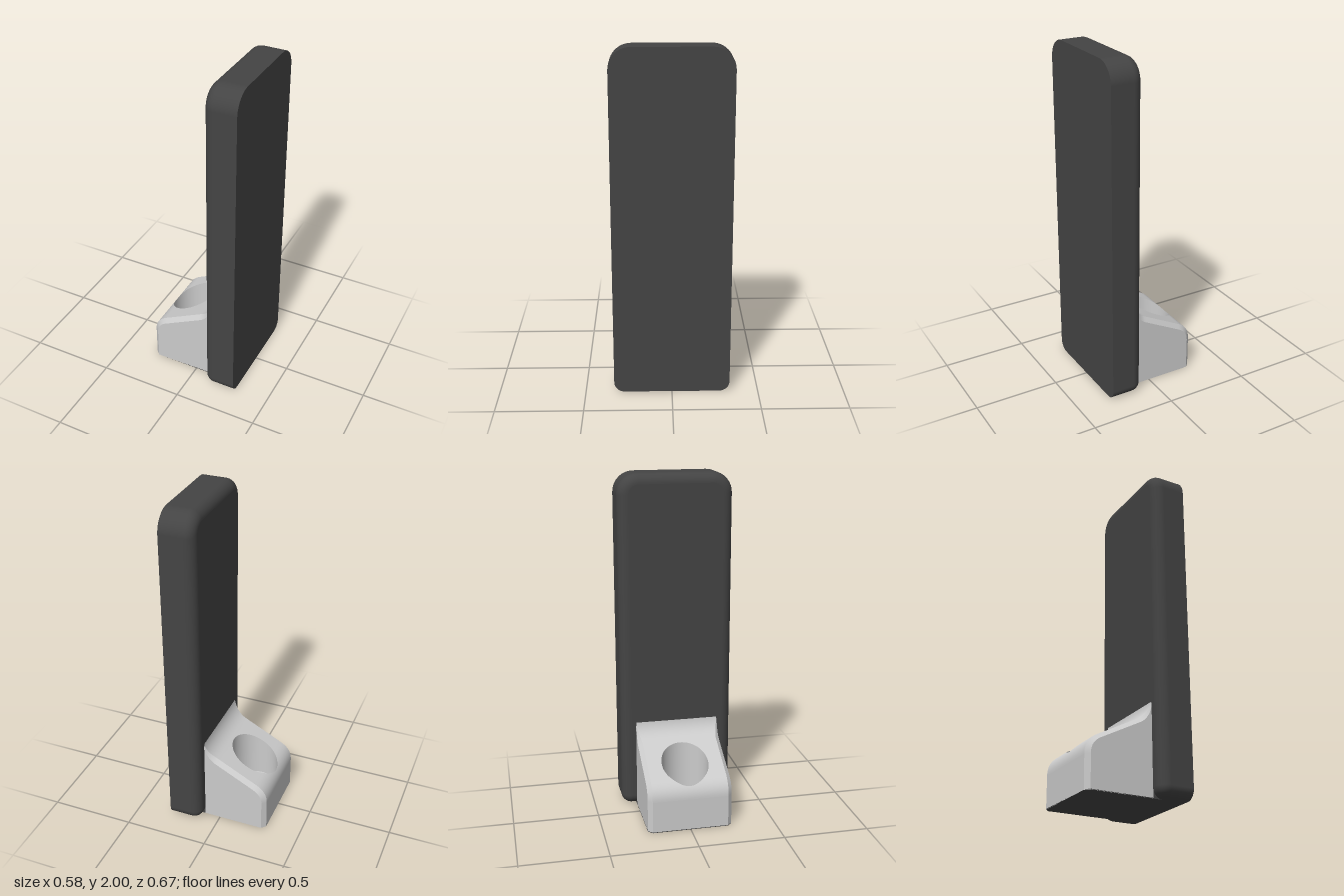
import * as THREE from 'three';

const grey = new THREE.MeshStandardMaterial({ color: 0xcccccc, side: THREE.DoubleSide });
const dark = new THREE.MeshStandardMaterial({ color: 0x444444, side: THREE.DoubleSide });
const V = (x, y, z) => new THREE.Vector3(x, y, z);

// Smooth skin over rows of points; wrap closes every row into a loop
function skin(rows, wrap = false, flip = false) {
  const n = rows[0].length, idx = [];
  for (let r = 0; r < rows.length - 1; r++) {
    for (let i = 0; i < (wrap ? n : n - 1); i++) {
      const j = (i + 1) % n;
      const a = r * n + i, b = r * n + j, c = a + n, d = b + n;
      if (flip) idx.push(a, c, b, b, c, d);
      else idx.push(a, b, c, b, d, c);
    }
  }
  const g = new THREE.BufferGeometry().setFromPoints(rows.flat());
  g.setIndex(idx);
  g.computeVertexNormals();
  return g;
}

function add(parent, name, geometry, material) {
  const mesh = new THREE.Mesh(geometry, material);
  mesh.name = name;
  parent.add(mesh);
  return mesh;
}

// Rounded outline of the panel, shrunk by inset, at a given x
function panelLoop(x, inset) {
  const pts = [], w = 0.335 - inset;
  const corners = [[1, 2, 0.12], [-1, 2, 0.12], [-1, 0, 0.06], [1, 0, 0.06]];
  corners.forEach(([sz, y, radius], k) => {
    const r = radius - inset;
    const cy = y ? 2 - inset - r : inset + r;
    for (let i = 0; i <= 10; i++) {
      const a = (k + i / 10) * Math.PI / 2;
      pts.push(V(x, cy + r * Math.sin(a), sz * (w - r) + r * Math.cos(a)));
    }
  });
  return pts;
}

function buildPanel() {
  const g = new THREE.Group();
  g.name = 'panel';
  const x0 = 0.097, x1 = 0.292, r = 0.059;
  const rows = [panelLoop(x1, 0), panelLoop(x0 + r, 0)];
  for (let i = 1; i <= 10; i++) {
    const a = i / 10 * Math.PI / 2;
    rows.push(panelLoop(x0 + r - r * Math.sin(a), r * (1 - Math.cos(a))));
  }
  add(g, 'panelRim', skin(rows, true, true), dark);
  // flat faces
  const face = (loop, turn) => {
    const s = new THREE.Shape(loop.map(p => new THREE.Vector2(-turn * p.z, p.y)));
    return new THREE.ShapeGeometry(s).rotateY(turn * Math.PI / 2).translate(loop[0].x, 0, 0);
  };
  add(g, 'panelFace', face(rows[0], 1), dark);
  add(g, 'panelBack', face(rows[rows.length - 1], -1), dark);
  return g;
}

function buildBracket() {
  const g = new THREE.Group();
  g.name = 'bracket';
  const xL = -0.292, xR = 0.099, half = 0.248, cham = 0.025, y0 = 0.19;

  // sloping top profile: rounded nose, straight ramp, upward sweep
  const path = new THREE.CurvePath();
  const P2 = (x, y) => new THREE.Vector2(x, y);
  path.add(new THREE.QuadraticBezierCurve(P2(xL, y0), P2(xL, 0.268), P2(-0.22, 0.305)));
  path.add(new THREE.LineCurve(P2(-0.22, 0.305), P2(0.02, 0.43)));
  path.add(new THREE.QuadraticBezierCurve(P2(0.02, 0.43), P2(xR, 0.471), P2(xR, 0.56)));
  const profile = path.curves.flatMap((c, k) =>
    c.getPoints(16).slice(k ? 1 : 0).map((p, i, all) => {
      const t = c.getTangent((i + (k ? 1 : 0)) / 16);
      const fade = k === 2 ? Math.pow((p.x - 0.02) / (xR - 0.02), 1.5) : 0;
      return { x: p.x, y: p.y, nx: -t.y, ny: t.x, c: cham * (1 - 0.9 * fade) };
    }));
  const height = x => {
    let i = 1;
    while (i < profile.length - 1 && profile[i].x < x) i++;
    const a = profile[i - 1], b = profile[i];
    return a.y + (b.y - a.y) * THREE.MathUtils.clamp((x - a.x) / (b.x - a.x || 1), 0, 1);
  };

  // top skin spanning from the bore circle to the outline
  const cx = -0.132, R = 0.138, bore = 0.081, ledge = 0.1;
  const edge = profile.map(p => [p.x, p.y, half - p.c]);
  const first = edge[0], last = edge[edge.length - 1];
  const outline = [...edge];
  for (let i = 1; i < 24; i++) outline.push([last[0], last[1], last[2] * (1 - i / 12)]);
  outline.push(...edge.map(([x, y, z]) => [x, y, -z]).reverse());
  for (let i = 1; i < 40; i++) outline.push([first[0], first[1], first[2] * (i / 20 - 1)]);
  const ring = (r, y) => outline.map(([x, , z]) => {
    const a = Math.atan2(z, x - cx), px = cx + r * Math.cos(a);
    return V(px, y === undefined ? height(px) : y, r * Math.sin(a));
  });
  const rim = ring(R), top = [];
  for (let k = 0; k <= 18; k++) {
    const t = 1 - (1 - k / 18) ** 2;
    top.push(outline.map(([x, y, z], i) => {
      const px = THREE.MathUtils.lerp(rim[i].x, x, t);
      return V(px, k === 18 ? y : height(px), THREE.MathUtils.lerp(rim[i].z, z, t));
    }));
  }
  add(g, 'slopedTop', skin(top, true, true), grey);

  // stepped bore
  add(g, 'boreWall', skin([ring(R, ledge), rim], true, true), grey);
  add(g, 'boreLedge', skin([ring(bore, ledge), ring(R, ledge)], true, true), grey);
  add(g, 'holeWall', skin([ring(bore, 0.004), ring(bore, ledge)], true, true), grey);

  // upright nose face
  const zn = half - cham;
  add(g, 'noseFace', skin([[V(xL, 0, -zn), V(xL, 0, zn)], [V(xL, y0, -zn), V(xL, y0, zn)]]), grey);

  // side walls with chamfered edges
  const full = [{ x: xL, y: 0, nx: -1, ny: 0, c: cham }, ...profile];
  const inner = full.map(p => P2(p.x - p.nx * p.c, p.y - p.ny * p.c));
  for (const s of [1, -1]) {
    const chamfer = skin([
      full.map(p => V(p.x, p.y, s * (half - p.c))),
      inner.map(p => V(p.x, p.y, s * half)),
    ], false, s > 0);
    add(g, 'edgeChamfer', chamfer, grey);
    const wall = new THREE.ShapeGeometry(new THREE.Shape([...inner, P2(xR, 0)]));
    if (s < 0) wall.rotateY(Math.PI).scale(-1, 1, 1);
    wall.translate(0, 0, s * half);
    add(g, 'sideWall', wall, grey);
  }

  // dark base sheet closing the hole, and the foot joining it to the panel
  const base = new THREE.Shape([
    P2(xL, -zn), P2(xL + cham, -half), P2(0.16, -half),
    P2(0.16, half), P2(xL + cham, half), P2(xL, zn),
  ]);
  const sheet = new THREE.ExtrudeGeometry(base, { depth: 0.004, bevelEnabled: false });
  add(g, 'baseSheet', sheet.rotateX(-Math.PI / 2), dark);
  const foot = new THREE.BoxGeometry(0.061, 0.06, 2 * half);
  add(g, 'foot', foot.translate(0.1285, 0.03, 0), dark);
  return g;
}

export function createModel() {
  const model = new THREE.Group();
  model.name = 'panelWithBracket';
  model.add(buildPanel(), buildBracket());
  return model;
}
